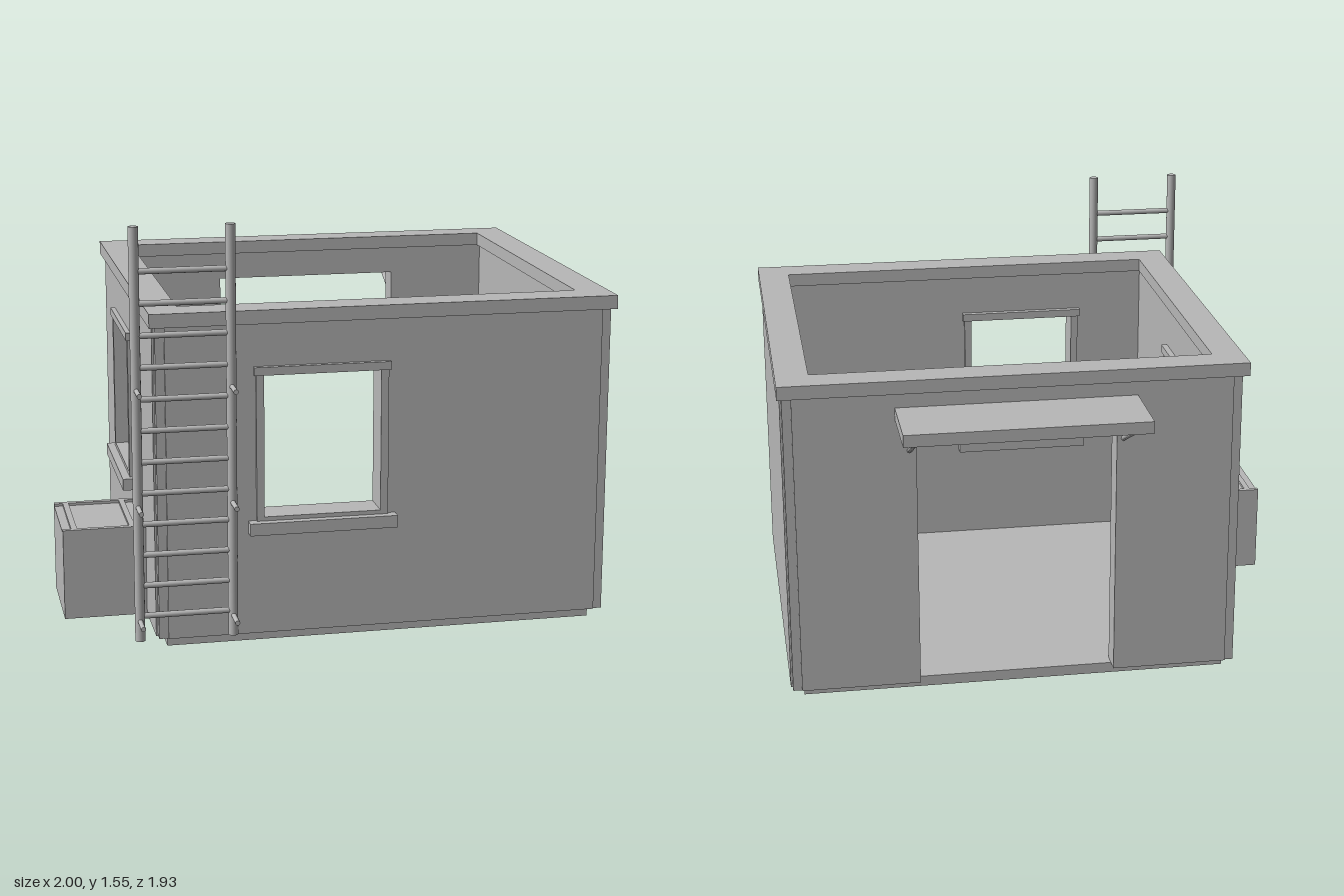
import * as THREE from 'three';

const grey = new THREE.MeshStandardMaterial({ color: 0xb8b8b8 });
grey.name = 'plain grey';

function add(parent, name, geometry) {
  const mesh = new THREE.Mesh(geometry, grey);
  mesh.name = name;
  parent.add(mesh);
  return mesh;
}

// Box given by its limits along each axis
function block(parent, name, [x0, x1], [y0, y1], [z0, z1]) {
  const mesh = add(parent, name, new THREE.BoxGeometry(x1 - x0, y1 - y0, z1 - z0));
  mesh.position.set((x0 + x1) / 2, (y0 + y1) / 2, (z0 + z1) / 2);
  return mesh;
}

// Round bar between two points
function bar(parent, name, a, b, radius, sides = 12) {
  const from = new THREE.Vector3(...a), to = new THREE.Vector3(...b);
  const dir = to.clone().sub(from);
  const mesh = add(parent, name, new THREE.CylinderGeometry(radius, radius, dir.length(), sides));
  mesh.position.copy(from).add(to).multiplyScalar(0.5);
  mesh.quaternion.setFromUnitVectors(new THREE.Vector3(0, 1, 0), dir.normalize());
  return mesh;
}

function rectPoints(x0, x1, y0, y1) {
  return [[x0, y0], [x1, y0], [x1, y1], [x0, y1]].map(p => new THREE.Vector2(...p));
}

const BOTTOM = 0.04, TOP = 1.185, PROUD = 0.007, THICK = 0.095, HALF = 0.2125;

// Wall layer; local +z points out of the building, z = 0 is the outer face
function layer(parent, name, [u0, u1], z0, z1, { windowAt, door }) {
  const pts = rectPoints(u0, u1, BOTTOM, TOP);
  if (door) {
    const [d0, d1, h] = door;
    pts.splice(1, 0, ...[[d0, BOTTOM], [d0, h], [d1, h], [d1, BOTTOM]].map(p => new THREE.Vector2(...p)));
  }
  const shape = new THREE.Shape(pts);
  if (windowAt !== undefined) {
    const r = HALF + 0.012;
    shape.holes.push(new THREE.Path(rectPoints(windowAt - r, windowAt + r, 0.468, 1.012).reverse()));
  }
  const geometry = new THREE.ExtrudeGeometry(shape, { depth: z1 - z0, bevelEnabled: false });
  add(parent, name, geometry).position.z = z0;
}

// Window frame and sill, running through the wall
function windowFrame(parent, u) {
  const frame = new THREE.Group();
  frame.name = 'windowFrame';
  frame.position.x = u;
  parent.add(frame);
  for (const s of [-1, 1]) {
    const edges = [s * HALF, s * (HALF + 0.028)].sort((a, b) => a - b);
    block(frame, 'jamb', edges, [0.465, 1.0], [-0.11, 0.012]);
  }
  block(frame, 'lintel', [-0.248, 0.248], [1.0, 1.03], [-0.118, 0.018]);
  block(frame, 'bottomRail', [-HALF, HALF], [0.465, 0.48], [-0.11, 0.012]);
  block(frame, 'sill', [-0.27, 0.27], [0.42, 0.465], [-0.135, 0.042]);
}

function wall(parent, name, position, turn, core, panel, openings = {}) {
  const group = new THREE.Group();
  group.name = name;
  group.position.set(...position);
  group.rotation.y = turn;
  parent.add(group);
  layer(group, 'wallCore', core, -THICK, -PROUD, openings);
  layer(group, 'wallPanel', panel, -PROUD, 0, openings);
  if (openings.windowAt !== undefined) windowFrame(group, openings.windowAt);
}

export function createModel() {
  const model = new THREE.Group();
  model.name = 'hut';

  // Floor slab
  block(model, 'floorSlab', [-0.655, 0.935], [0, BOTTOM], [-0.635, 0.77]);

  // Four walls with recessed corners
  wall(model, 'frontWall', [0, 0, 0.81], 0, [-0.688, 0.978], [-0.655, 0.945], { windowAt: -0.0925 });
  wall(model, 'backWall', [0, 0, -0.685], Math.PI, [-0.978, 0.688], [-0.945, 0.655],
    { door: [-0.505, 0.225, 1.08] });
  wall(model, 'rightWall', [-0.695, 0, 0], -Math.PI / 2, [-0.59, 0.715], [-0.645, 0.772], { windowAt: -0.08 });
  wall(model, 'leftWall', [0.985, 0, 0], Math.PI / 2, [-0.715, 0.59], [-0.772, 0.645]);

  // Coping ring on top of the walls
  const ring = new THREE.Shape(rectPoints(-0.71, 0.995, -0.825, 0.70));
  ring.holes.push(new THREE.Path(rectPoints(-0.595, 0.875, -0.70, 0.58).reverse()));
  const coping = add(model, 'coping', new THREE.ExtrudeGeometry(ring, { depth: 0.05, bevelEnabled: false }));
  coping.rotation.x = -Math.PI / 2;
  coping.position.y = TOP;

  // Door canopy with slanted struts
  const canopy = new THREE.Group();
  canopy.name = 'canopy';
  model.add(canopy);
  block(canopy, 'canopySlab', [-0.30, 0.58], [1.085, 1.13], [-0.967, -0.683]);
  for (const x of [-0.25, 0.53]) {
    bar(canopy, 'strut', [x, 0.965, -0.68], [x, 1.083, -0.92], 0.01, 8);
  }

  // Storage box beside the right wall, with a raised frame on its lid
  const chest = new THREE.Group();
  chest.name = 'storageBox';
  model.add(chest);
  block(chest, 'boxBody', [-1, -0.69], [BOTTOM, 0.37], [0.16, 0.525]);
  for (const z of [[0.16, 0.18], [0.505, 0.525]]) block(chest, 'lidRail', [-1, -0.69], [0.37, 0.38], z);
  for (const x of [[-0.968, -0.946], [-0.754, -0.733]]) block(chest, 'lidBar', x, [0.37, 0.38], [0.18, 0.505]);

  // Ladder
  const ladder = new THREE.Group();
  ladder.name = 'ladder';
  model.add(ladder);
  const railX = [-0.765, -0.43], z = 0.87;
  for (const x of railX) {
    bar(ladder, 'ladderRail', [x, 0.065, z], [x, 1.552, z], 0.018, 16);
    for (const y of [0.14, 0.56, 0.98]) bar(ladder, 'ladderBracket', [x, y, z], [x, y, 0.967], 0.009);
  }
  for (let i = 0; i < 12; i++) {
    const y = 0.157 + i * 0.1127;
    bar(ladder, 'rung', [railX[0], y, z], [railX[1], y, z], 0.011);
  }

  return model;
}
